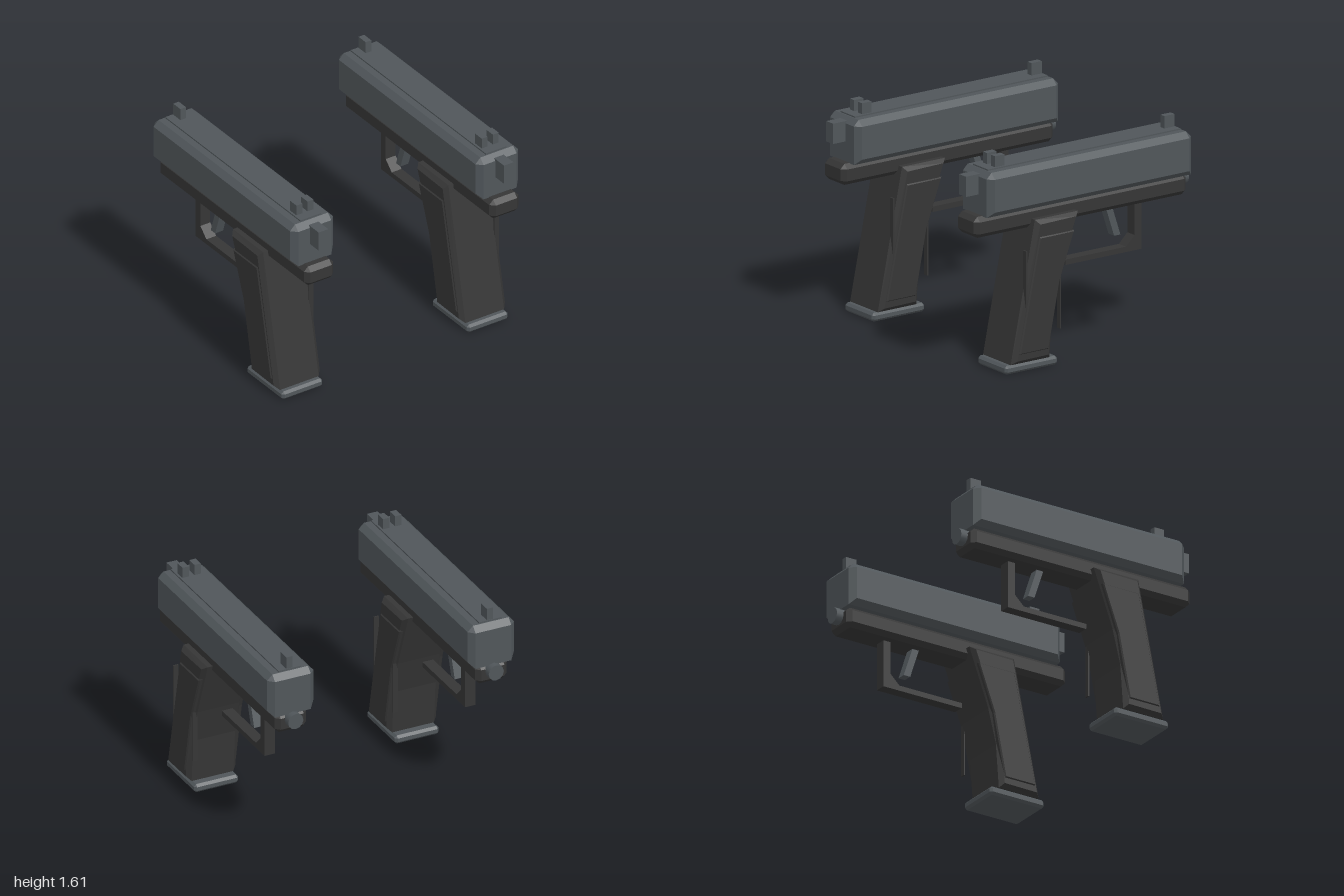
import * as THREE from 'three';
import { ConvexGeometry } from 'three/addons/geometries/ConvexGeometry.js';

const steel = new THREE.MeshStandardMaterial({ color: 0x50565a });
steel.name = 'steel grey';
const polymer = new THREE.MeshStandardMaterial({ color: 0x363636 });
polymer.name = 'dark polymer';

function add(parent, name, geometry, material) {
  const mesh = new THREE.Mesh(geometry, material);
  mesh.name = name;
  parent.add(mesh);
  return mesh;
}

// Box given by its limits, x is a half width or a [min, max] pair
function block(x, [y0, y1], [z0, z1]) {
  const [x0, x1] = Array.isArray(x) ? x : [-x, x];
  return new THREE.BoxGeometry(x1 - x0, y1 - y0, z1 - z0)
    .translate((x0 + x1) / 2, (y0 + y1) / 2, (z0 + z1) / 2);
}

// Box with all edges cut by c; endDrop keeps the bottom end edges sharp if 0
function chamferBox(hx, [y0, y1], [z0, z1], c, endDrop = c) {
  const points = [];
  for (const s of [-1, 1]) {
    for (const z of [z0 + c, z1 - c]) {
      points.push(new THREE.Vector3(s * hx, y0 + c, z), new THREE.Vector3(s * hx, y1 - c, z));
      points.push(new THREE.Vector3(s * (hx - c), y1, z));
    }
    for (const z of [z0, z1]) {
      points.push(new THREE.Vector3(s * (hx - c), y0 + endDrop, z), new THREE.Vector3(s * (hx - c), y1 - c, z));
    }
    for (const z of [z0 + endDrop, z1 - endDrop]) points.push(new THREE.Vector3(s * (hx - c), y0, z));
  }
  return new ConvexGeometry(points);
}

// Side outline of [z, y] points extruded across x, with cut side edges
function sideExtrude(outline, hx, bevel = 0) {
  const shape = new THREE.Shape(outline.map(([z, y]) => new THREE.Vector2(-z, y)));
  const depth = 2 * (hx - bevel);
  return new THREE.ExtrudeGeometry(shape, {
    depth, bevelEnabled: bevel > 0, bevelThickness: bevel, bevelSize: bevel,
    bevelOffset: -bevel, bevelSegments: 1,
  }).translate(0, 0, -depth / 2).rotateY(Math.PI / 2);
}

function createPistol() {
  const pistol = new THREE.Group();

  // Slide with top rib, rear block and sights
  add(pistol, 'slide', chamferBox(0.183, [1.18, 1.506], [-0.925, 0.86], 0.042, 0), steel);
  add(pistol, 'topRib', block(0.088, [1.49, 1.516], [-0.875, 0.81]), steel);
  add(pistol, 'rearBlock', block(0.041, [1.33, 1.48], [0.8, 0.968]), steel);
  for (const s of [-1, 1]) {
    add(pistol, 'rearSight', block([s * 0.0475 - 0.025, s * 0.0475 + 0.025], [1.49, 1.597], [0.655, 0.737]), steel);
  }
  add(pistol, 'frontSight', block(0.024, [1.49, 1.607], [-0.87, -0.78]), steel);

  // Frame and muzzle rod
  add(pistol, 'frame', chamferBox(0.125, [1.03, 1.185], [-0.915, 0.94], 0.034), polymer);
  const rod = new THREE.CylinderGeometry(0.06, 0.06, 0.12, 12).rotateX(Math.PI / 2).translate(0, 1.135, -0.91);
  add(pistol, 'muzzleRod', rod, steel);

  // Grip with raised side panels
  add(pistol, 'grip', sideExtrude([
    [0.457, 1.1], [0.08, 1.1], [0.24, 0.66], [0.305, 0.4], [0.33, 0.065], [0.668, 0.065],
  ], 0.197, 0.032), polymer);
  add(pistol, 'gripPanels', sideExtrude([
    [0.44, 0.977], [0.135, 0.977], [0.265, 0.62], [0.36, 0.14], [0.617, 0.14],
  ], 0.205, 0.009), polymer);
  for (const z of [0.255, 0.552]) {
    add(pistol, 'gripStrip', block([0.16, 0.198], [0.27, 0.893], [z - 0.005, z + 0.005]), polymer);
  }

  // Magazine base plate
  add(pistol, 'basePlate', chamferBox(0.175, [0, 0.065], [0.258, 0.715], 0.018), steel);

  // Trigger and guard
  add(pistol, 'trigger', sideExtrude([
    [-0.25, 1.06], [-0.305, 1.06], [-0.388, 0.808], [-0.333, 0.808],
  ], 0.034), steel);
  add(pistol, 'triggerGuard', sideExtrude([
    [0.1, 0.675], [0.1, 0.712], [-0.43, 0.712], [-0.505, 0.785], [-0.505, 1.06],
    [-0.565, 1.06], [-0.565, 0.672], [0.095, 0.672],
  ], 0.042), polymer);

  return pistol;
}

export function createModel() {
  const model = new THREE.Group();
  model.name = 'pistolPair';
  for (const [name, x] of [['rightPistol', -0.793], ['leftPistol', 0.793]]) {
    const pistol = createPistol();
    pistol.name = name;
    pistol.position.x = x;
    model.add(pistol);
  }
  return model;
}
